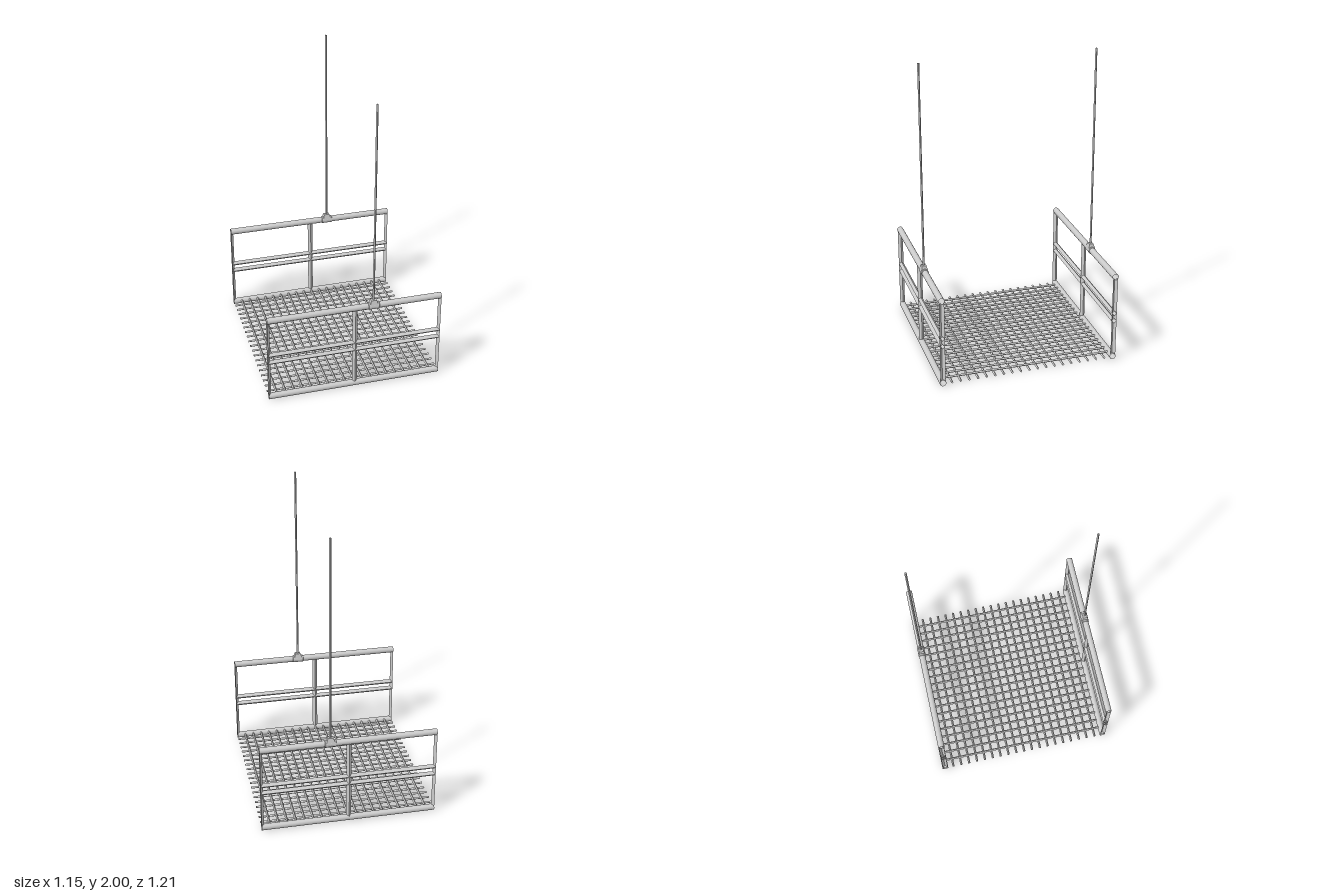
import * as THREE from 'three';

const HALF = 0.576;     // half length of the platform
const SIDE_Z = 0.578;   // z of the side frames
const RAIL_R = 0.021, BAR_R = 0.017;
const TOP_Y = 0.603, BOTTOM_Y = 0.021;
const MID_YS = [0.285, 0.34];

const smooth = new THREE.MeshStandardMaterial({ color: 0xcccccc, side: THREE.DoubleSide });
const flat = new THREE.MeshStandardMaterial({ color: 0xcccccc, side: THREE.DoubleSide, flatShading: true });

function add(parent, name, geometry, material, x = 0, y = 0, z = 0) {
  const mesh = new THREE.Mesh(geometry, material);
  mesh.name = name;
  mesh.position.set(x, y, z);
  parent.add(mesh);
  return mesh;
}

// Open hollow bar along x or z
function bar(radius, length, sides, axis) {
  const g = new THREE.CylinderGeometry(radius, radius, length, sides, 1, true);
  return axis === 'x' ? g.rotateZ(Math.PI / 2) : g.rotateX(Math.PI / 2);
}

// Diamond post between two heights, its ends cut to fit round or diamond rails
function post(y0, y1, round0, round1, sides, start, sweep) {
  const g = new THREE.CylinderGeometry(BAR_R, BAR_R, 1, sides, 1, true, start, sweep);
  const p = g.attributes.position;
  const reach = (z, round) => round ? Math.sqrt(RAIL_R ** 2 - z ** 2) : BAR_R - Math.abs(z);
  for (let i = 0; i < p.count; i++) {
    const z = p.getZ(i);
    p.setY(i, p.getY(i) > 0 ? y1 - reach(z, round1) : y0 + reach(z, round0));
  }
  g.computeVertexNormals();
  return g;
}

function sideFrame() {
  const frame = new THREE.Group();
  frame.name = 'sideFrame';
  add(frame, 'topRail', bar(RAIL_R, HALF * 2, 16, 'x'), smooth, 0, TOP_Y);
  add(frame, 'bottomRail', bar(RAIL_R, HALF * 2, 16, 'x'), smooth, 0, BOTTOM_Y);
  for (const y of MID_YS) add(frame, 'middleRail', bar(BAR_R, HALF * 2, 4, 'x'), flat, 0, y);

  // Posts: full diamond in the middle, half diamonds at the ends
  const kinds = [
    ['centrePost', 0, 4, 0, Math.PI * 2],
    ['endPost', HALF, 2, Math.PI, Math.PI],
    ['endPost', -HALF, 2, 0, Math.PI],
  ];
  const levels = [BOTTOM_Y, ...MID_YS, TOP_Y];
  for (const [name, x, ...arc] of kinds) {
    for (let i = 0; i < 3; i++) {
      add(frame, name, post(levels[i], levels[i + 1], i === 0, i === 2, ...arc), flat, x);
    }
  }

  // Hanger: collar around the rail, tapered socket and long rod
  const hanger = new THREE.Group();
  hanger.name = 'hanger';
  hanger.position.set(0.122, 0, 0);
  frame.add(hanger);
  const profile = [[0.021, -0.037], [0.0245, -0.034], [0.0245, 0.034], [0.021, 0.037]]
    .map(([r, y]) => new THREE.Vector2(r, y));
  add(hanger, 'collar', new THREE.LatheGeometry(profile, 16).rotateZ(Math.PI / 2), flat, 0, TOP_Y);
  const socket = new THREE.CylinderGeometry(0.018 * Math.SQRT2, 0.028 * Math.SQRT2, 0.034, 4)
    .rotateY(Math.PI / 4).scale(1, 1, 0.8);
  add(hanger, 'socket', socket, flat, 0, 0.63);
  add(hanger, 'rod', new THREE.CylinderGeometry(0.007, 0.007, 1.36, 4), flat, 0, 1.32);
  return frame;
}

export function createModel() {
  const model = new THREE.Group();
  model.name = 'hangingPlatform';

  // Two matching side frames
  for (const s of [1, -1]) {
    const frame = sideFrame();
    frame.position.z = s * SIDE_Z;
    model.add(frame);
  }

  // Floor grating: crossing diamond bars, the z bars lying on the x bars
  const floor = new THREE.Group();
  floor.name = 'floorGrating';
  model.add(floor);
  const step = 0.0577;
  const xBar = bar(0.008, HALF * 2, 4, 'x');
  const zBar = bar(0.008, SIDE_Z * 2 - 0.03, 4, 'z');
  for (let i = -9; i <= 9; i++) {
    add(floor, 'lengthBar', xBar, flat, 0, 0.019, i * step);
    add(floor, 'crossBar', zBar, flat, i * step, 0.029, 0);
  }
  return model;
}
